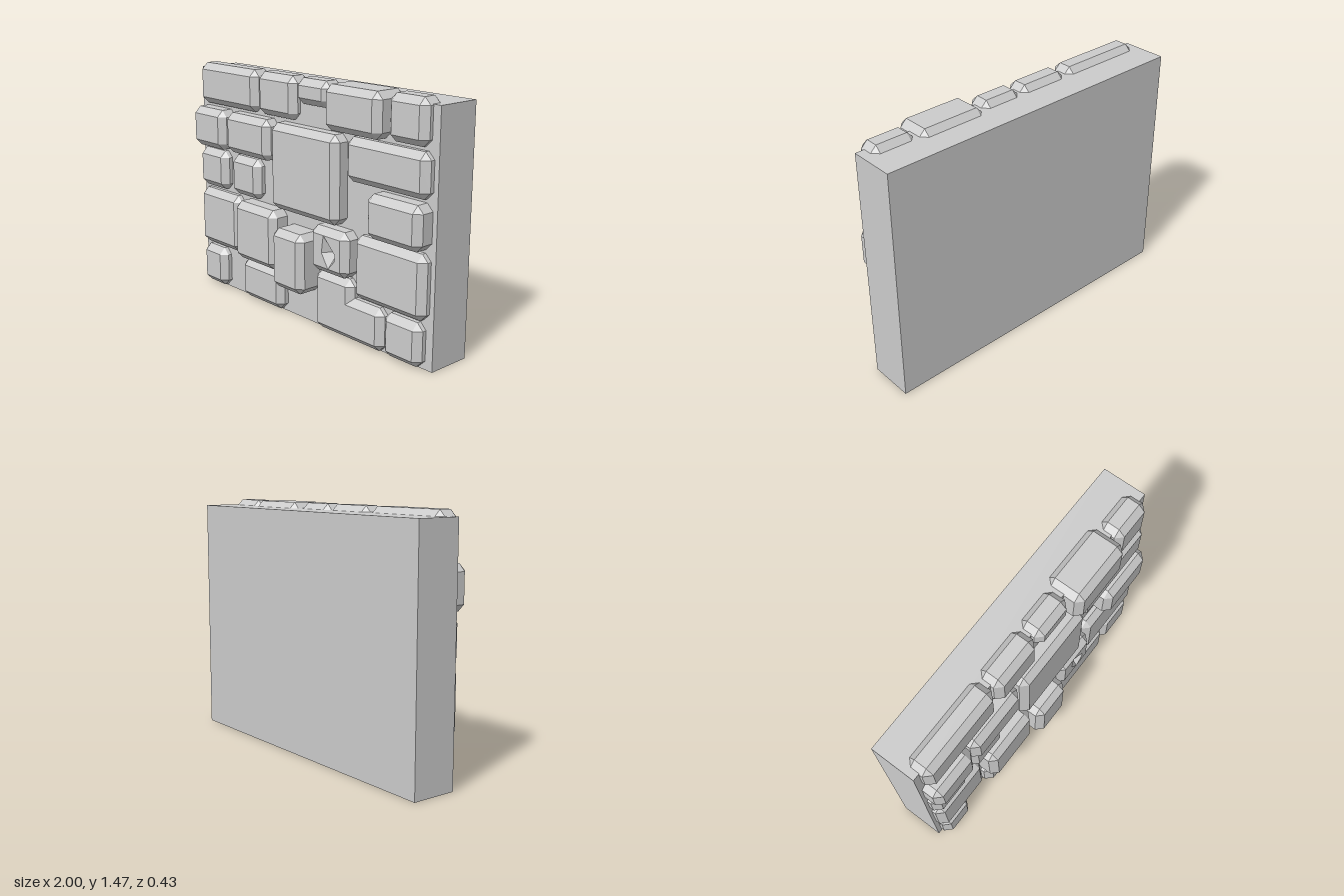
import * as THREE from 'three';

const BEVEL = 0.04;
const material = new THREE.MeshStandardMaterial({ color: 0xcccccc, flatShading: true });

// Chamfered block from a counter-clockwise right-angled outline; an optional pit sinks into its front.
function stoneGeometry(corners, zBack, zFront, pit) {
  const b = BEVEL, n = corners.length;
  const outer = [], inset = [];
  corners.forEach((c, i) => {
    const d0 = c.clone().sub(corners[(i + n - 1) % n]).normalize();
    const d1 = corners[(i + 1) % n].clone().sub(c).normalize();
    const convex = d0.cross(d1) > 0;
    const cut = convex ? b : 0;
    outer.push(c.clone().addScaledVector(d0, -cut), c.clone().addScaledVector(d1, cut));
    inset.push(new THREE.Vector2(c.x - (d0.y + d1.y) * b, c.y + (d0.x + d1.x) * b));
  });
  const insetPairs = inset.flatMap((p) => [p, p]);
  const at = (p, z) => new THREE.Vector3(p.x, p.y, z);
  const positions = [];
  const tri = (p, q, r) => {
    const area = q.clone().sub(p).cross(r.clone().sub(p)).length();
    if (area > 1e-8) for (const v of [p, q, r]) positions.push(v.x, v.y, v.z);
  };

  // Bevelled sides, from back to front
  const rings = [[insetPairs, zBack], [outer, zBack + b], [outer, zFront - b], [insetPairs, zFront]]
    .map(([ring, z]) => ring.map((p) => at(p, z)));
  for (let k = 0; k < 3; k++) {
    for (let i = 0; i < 2 * n; i++) {
      const j = (i + 1) % (2 * n);
      const [lo, hi] = [rings[k], rings[k + 1]];
      tri(lo[i], lo[j], hi[j]);
      tri(lo[i], hi[j], hi[i]);
    }
  }

  // Back and front faces
  for (const [a, c, d] of THREE.ShapeUtils.triangulateShape(inset, [])) {
    tri(at(inset[a], zBack), at(inset[d], zBack), at(inset[c], zBack));
  }
  const holes = pit ? [pit.rim] : [];
  const all = inset.concat(...holes);
  for (const f of THREE.ShapeUtils.triangulateShape(inset, holes)) {
    tri(...f.map((i) => at(all[i], zFront)));
  }

  // Walls of the pit (its rim runs clockwise)
  if (pit) {
    pit.rim.forEach((p, i) => {
      const q = pit.rim[(i + 1) % pit.rim.length];
      tri(at(q, zFront), at(p, zFront), pit.bottom);
    });
  }

  const geometry = new THREE.BufferGeometry();
  geometry.setAttribute('position', new THREE.Float32BufferAttribute(positions, 3));
  geometry.computeVertexNormals();
  return geometry;
}

const points = (list) => list.map(([x, y]) => new THREE.Vector2(x, y));
const rectangle = (x0, x1, y0, y1) => points([[x0, y0], [x1, y0], [x1, y1], [x0, y1]]);

export function createModel() {
  const wall = new THREE.Group();
  wall.name = 'stoneWall';
  const add = (name, geometry) => {
    const mesh = new THREE.Mesh(geometry, material);
    mesh.name = name;
    wall.add(mesh);
    return mesh;
  };

  // Plain slab behind the stones
  add('slab', new THREE.BoxGeometry(2, 1.43, 0.27)).position.set(0, 0.715, -0.08);

  // Courses of stones: y0, y1, then [x0, x1, zFront, zBack]
  const courses = [
    { y: [1.21, 1.465], stones: [[-0.96, -0.4, 0.115], [-0.385, -0.05, 0.115],
      [0.245, 0.67, 0.165, -0.07], [0.68, 0.95, 0.115]] },
    { y: [1.315, 1.465], stones: [[-0.04, 0.23, 0.115]] },
    { y: [0.94, 1.19], stones: [[-0.98, -0.665, 0.165], [-0.655, -0.245, 0.155], [0.375, 0.97, 0.12]] },
    { y: [0.67, 1.187], stones: [[-0.225, 0.345, 0.155]] },
    { y: [0.67, 0.92], stones: [[-0.98, -0.705, 0.12], [-0.65, -0.38, 0.12], [0.58, 0.97, 0.167]] },
    { y: [0.28, 0.65], stones: [[-0.98, -0.58, 0.12], [-0.555, -0.17, 0.175], [0.45, 0.97, 0.12]] },
    { y: [0.21, 0.575], stones: [[-0.15, 0.12, 0.215]] },
    { y: [0.01, 0.265], stones: [[-0.97, -0.74, 0.12], [-0.555, -0.17, 0.12], [0.68, 0.95, 0.12]] },
  ];
  for (const { y, stones } of courses) {
    for (const [x0, x1, zFront, zBack = -0.04] of stones) {
      add('stone', stoneGeometry(rectangle(x0, x1, ...y), zBack, zFront));
    }
  }

  // L-shaped stone in the bottom course
  const lShape = points([[0.13, 0.01], [0.675, 0.01], [0.675, 0.265], [0.44, 0.265], [0.44, 0.37], [0.13, 0.37]]);
  add('cornerStone', stoneGeometry(lShape, -0.04, 0.12));

  // Stone with a chipped hole
  const pit = {
    rim: points([[0.26, 0.61], [0.355, 0.515], [0.35, 0.475], [0.3, 0.42], [0.245, 0.505]]),
    bottom: new THREE.Vector3(0.305, 0.51, 0.08),
  };
  add('chippedStone', stoneGeometry(rectangle(0.135, 0.435, 0.38, 0.65), -0.04, 0.16, pit));

  return wall;
}
